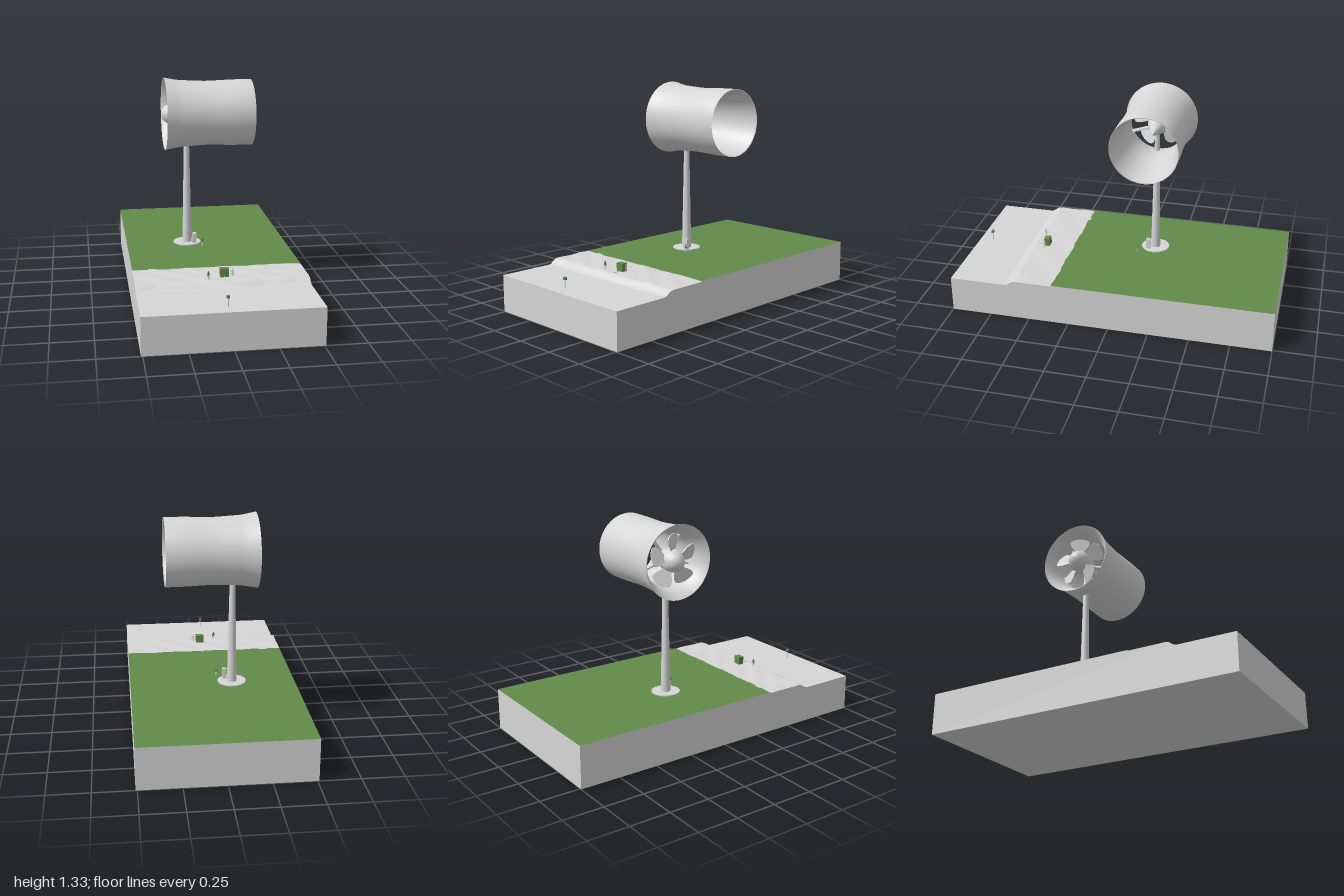
import * as THREE from 'three';

const gray = new THREE.MeshStandardMaterial({ color: 0xd6d6d6 });
gray.name = 'lightGray';
const green = new THREE.MeshStandardMaterial({ color: 0x628a49 });
green.name = 'grassGreen';

const AXIS_Y = 1.105, AXIS_Z = -0.168, POLE_X = -0.12;
const HALF_W = 0.51;

function add(parent, name, geometry, material, x = 0, y = 0, z = 0) {
  const mesh = new THREE.Mesh(geometry, material);
  mesh.name = name;
  mesh.position.set(x, y, z);
  parent.add(mesh);
  return mesh;
}

// Lathe around the x axis from [x, radius] points
function latheX(points, segments = 64) {
  const profile = points.map(([x, r]) => new THREE.Vector2(r, x));
  return new THREE.LatheGeometry(profile, segments).rotateZ(-Math.PI / 2);
}

// Ground block, grass sheet and rolling beach
function buildGround() {
  const ground = new THREE.Group();
  ground.name = 'ground';

  const side = new THREE.Shape();
  side.moveTo(-1, 0);
  side.lineTo(1, 0);
  side.lineTo(1, 0.225);
  side.lineTo(0.65, 0.225);
  side.lineTo(0.63, 0.232);
  side.lineTo(0.605, 0.25);
  side.lineTo(0.58, 0.255);
  side.lineTo(-1, 0.255);
  const block = new THREE.ExtrudeGeometry(side, { depth: HALF_W * 2, bevelEnabled: false });
  block.rotateY(-Math.PI / 2).translate(HALF_W, 0, 0);
  add(ground, 'landBlock', block, gray);

  // Grass with a slightly ragged seaward edge
  const lawn = new THREE.Shape();
  lawn.moveTo(-HALF_W, 1);
  lawn.lineTo(-HALF_W, -0.35);
  for (let i = 0; i <= 40; i++) {
    const x = -HALF_W + (i / 40) * HALF_W * 2;
    lawn.lineTo(x, -0.349 + 0.003 * Math.sin(x * 23) + 0.002 * Math.sin(x * 61));
  }
  lawn.lineTo(HALF_W, 1);
  const lawnGeo = new THREE.ExtrudeGeometry(lawn, { depth: 0.005, bevelEnabled: false });
  lawnGeo.rotateX(-Math.PI / 2).translate(0, 0.255, 0);
  const lawnMesh = add(ground, 'grass', lawnGeo, [green, gray]);
  lawnMesh.receiveShadow = false;

  // Beach surface falling in an S-curve to the low flat
  const beach = new THREE.PlaneGeometry(HALF_W * 2, 0.32, 60, 32);
  beach.rotateX(-Math.PI / 2).translate(0, 0, 0.5);
  const p = beach.attributes.position;
  for (let i = 0; i < p.count; i++) {
    const x = p.getX(i), z = p.getZ(i);
    const edge = 0.006 * Math.sin(x * 9 + 1) + 0.003 * Math.sin(x * 21);
    const drop = THREE.MathUtils.smoothstep(z, 0.59 + edge, 0.652 + edge);
    const lumps = 0.0013 * (Math.sin(x * 17 + z * 25) + Math.sin(x * 31 - z * 40 + 2));
    p.setY(i, 0.258 + lumps * (1 - drop) - drop * 0.0345);
  }
  beach.computeVertexNormals();
  add(ground, 'beach', beach, gray);
  return ground;
}

// Ducted rotor: shroud, hub, blades and struts
function buildTurbine() {
  const turbine = new THREE.Group();
  turbine.name = 'turbine';
  turbine.position.set(0, AXIS_Y, AXIS_Z);

  add(turbine, 'shroud', latheX([
    [-0.26, 0.227], [-0.24, 0.223], [-0.2, 0.215], [-0.16, 0.209], [-0.1, 0.206],
    [-0.05, 0.203], [0, 0.201], [0.05, 0.202], [0.1, 0.204], [0.15, 0.206],
    [0.2, 0.207], [0.29, 0.2075],
    [0.286, 0.204], [0.2, 0.189], [0.1, 0.174], [0, 0.163], [-0.08, 0.16],
    [-0.14, 0.167], [-0.2, 0.186], [-0.24, 0.209], [-0.26, 0.227],
  ], 80), gray);

  add(turbine, 'hub', latheX([
    [-0.28, 0], [-0.277, 0.018], [-0.268, 0.036], [-0.25, 0.053], [-0.225, 0.065],
    [-0.195, 0.07], [-0.15, 0.066], [-0.09, 0.05], [-0.02, 0.025], [0.04, 0],
  ], 40), gray);

  // Petal blade: root at the hub, broad rounded tip
  const petal = new THREE.Shape();
  petal.moveTo(-0.018, 0.05);
  petal.bezierCurveTo(-0.03, 0.08, -0.066, 0.11, -0.06, 0.14);
  petal.bezierCurveTo(-0.045, 0.17, 0.045, 0.17, 0.06, 0.14);
  petal.bezierCurveTo(0.066, 0.11, 0.03, 0.08, 0.018, 0.05);
  const bladeGeo = new THREE.ExtrudeGeometry(petal, { depth: 0.006, bevelEnabled: false, curveSegments: 10 });
  bladeGeo.translate(0, 0, -0.003).rotateY(Math.PI / 2 + 0.5);
  const strutGeo = new THREE.BoxGeometry(0.035, 0.13, 0.01).translate(0, 0.11, 0);

  for (let i = 0; i < 5; i++) {
    const angle = (i / 5) * Math.PI * 2;
    add(turbine, 'blade', bladeGeo, gray, -0.2).rotation.x = angle;
    add(turbine, 'strut', strutGeo, gray, POLE_X).rotation.x = angle + Math.PI / 5;
  }
  return turbine;
}

// Tower with round foundation and entrance
function buildTower() {
  const tower = new THREE.Group();
  tower.name = 'tower';
  tower.position.set(POLE_X, 0.258, AXIS_Z);
  add(tower, 'pole', new THREE.CylinderGeometry(0.017, 0.03, 0.66, 32), gray, 0, 0.33);
  add(tower, 'poleTop', new THREE.CylinderGeometry(0.014, 0.017, 0.14, 32), gray, 0, 0.73);
  add(tower, 'foundation', new THREE.CylinderGeometry(0.088, 0.088, 0.008, 48), gray, 0, 0.004);
  add(tower, 'entrance', new THREE.BoxGeometry(0.025, 0.068, 0.025), gray, 0.042, 0.038, 0.04);
  return tower;
}

// Small standing figure, 0.052 tall
function buildFigure(x, y, z, coat, turn) {
  const figure = new THREE.Group();
  figure.name = 'figure';
  figure.position.set(x, y, z);
  figure.rotation.y = turn;
  for (const s of [-1, 1]) {
    add(figure, 'leg', new THREE.CylinderGeometry(0.0025, 0.002, 0.026, 6), gray, s * 0.003, 0.013);
    add(figure, 'arm', new THREE.CylinderGeometry(0.0015, 0.0015, 0.02, 6), coat, s * 0.0075, 0.031)
      .rotation.z = s * 0.2;
  }
  add(figure, 'torso', new THREE.CylinderGeometry(0.0055, 0.004, 0.019, 8), coat, 0, 0.034).scale.z = 0.6;
  add(figure, 'head', new THREE.SphereGeometry(0.004, 10, 8), coat, 0, 0.048);
  return figure;
}

export function createModel() {
  const model = new THREE.Group();
  model.name = 'ductedWindTurbine';
  model.add(buildGround(), buildTower(), buildTurbine());

  // Beach hut and its walkway
  add(model, 'beachHut', new THREE.BoxGeometry(0.05, 0.05, 0.036), green, 0.017, 0.284, 0.522);
  add(model, 'walkway', new THREE.BoxGeometry(0.004, 0.004, 0.045), gray, 0.015, 0.26, 0.56);

  // Marker post on the low flat
  add(model, 'markerPost', new THREE.CylinderGeometry(0.003, 0.003, 0.05, 8), gray, -0.024, 0.25, 0.917);
  add(model, 'markerHead', new THREE.BoxGeometry(0.018, 0.016, 0.014), green, -0.024, 0.283, 0.917);

  model.add(
    buildFigure(-0.083, 0.258, 0.565, green, 0.3),
    buildFigure(-0.032, 0.26, -0.07, green, 0),
    buildFigure(0.063, 0.258, 0.53, gray, -0.4),
  );
  return model;
}
